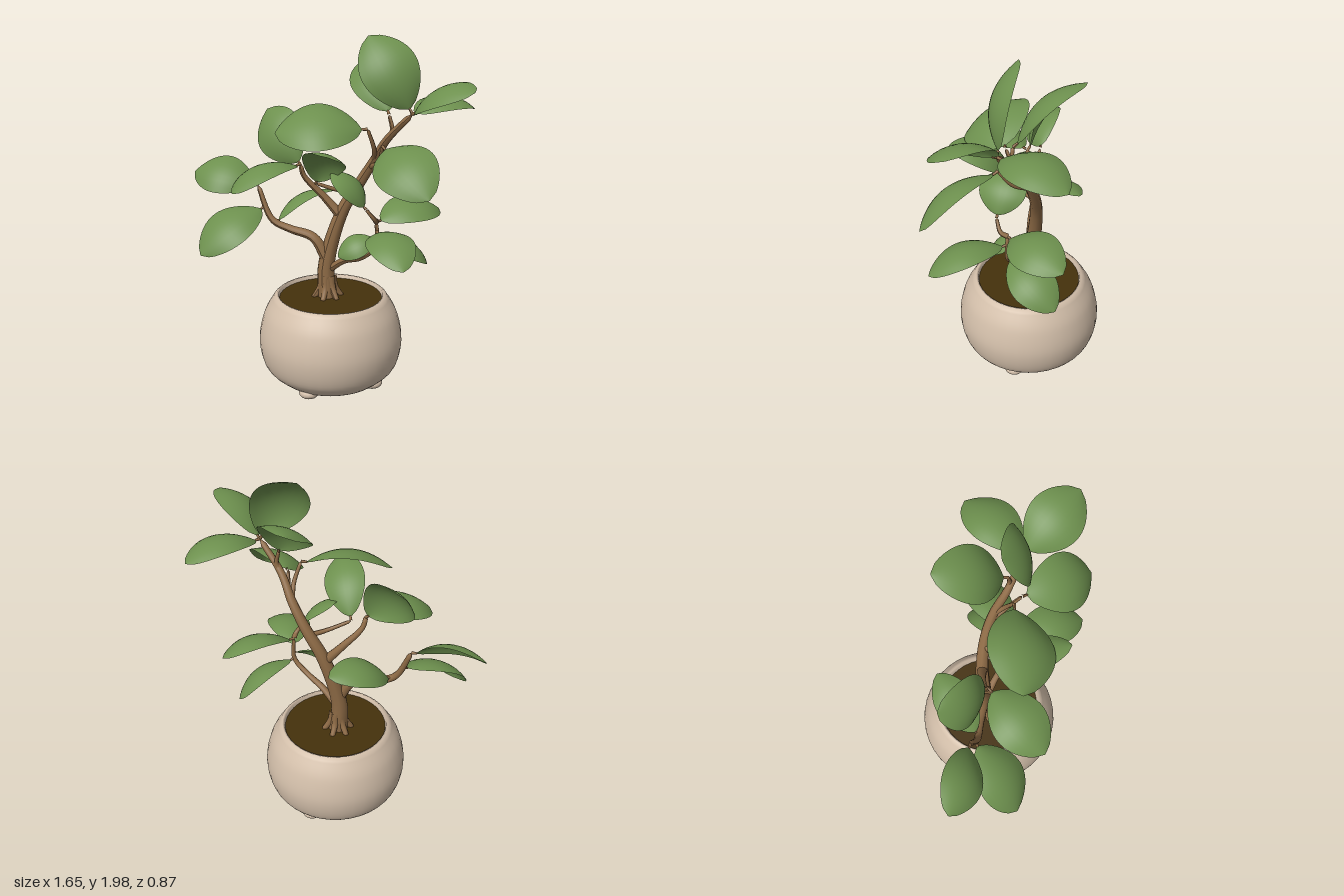
import * as THREE from 'three';

const material = (name, color, side = THREE.FrontSide) => {
  const m = new THREE.MeshStandardMaterial({ color, side });
  m.name = name;
  return m;
};

const part = (name, geometry, mat, parent) => {
  const mesh = new THREE.Mesh(geometry, mat);
  mesh.name = name;
  parent.add(mesh);
  return mesh;
};

const group = (name, parent) => {
  const g = new THREE.Group();
  g.name = name;
  parent.add(g);
  return g;
};

// Tapered tube along a smooth path, closed to a point at the end
function limbGeometry(curve, r0, r1, rows) {
  const sides = 10;
  const geo = new THREE.TubeGeometry(curve, rows, 1, sides, false);
  const pos = geo.attributes.position;
  const p = new THREE.Vector3();
  for (let i = 0; i <= rows; i++) {
    const c = curve.getPointAt(i / rows);
    const r = i === rows ? 0.001 : THREE.MathUtils.lerp(r0, r1, (i / rows) ** 0.75);
    for (let j = 0; j <= sides; j++) {
      const k = i * (sides + 1) + j;
      p.fromBufferAttribute(pos, k).sub(c).multiplyScalar(r).add(c);
      pos.setXYZ(k, p.x, p.y, p.z);
    }
  }
  geo.computeVertexNormals();
  return geo;
}

// Broad oval blade from base to tip, arched lengthwise, cupped and rolled about its axis
function leafGeometry(base, tip, roll, breadth) {
  const axis = tip.clone().sub(base);
  const length = axis.length();
  const dir = axis.clone().normalize();
  const side = new THREE.Vector3(0, 1, 0).cross(dir).normalize().applyAxisAngle(dir, -roll);
  const up = dir.clone().cross(side);
  const rows = 18, cols = 8;
  const geo = new THREE.PlaneGeometry(1, 1, cols, rows);
  const pos = geo.attributes.position;
  for (let i = 0; i <= rows; i++) {
    const t = i / rows;
    const outline = Math.max(0, Math.sin(Math.PI * t ** 1.04)) ** 0.62;
    const w = Math.max(0.003, breadth * length * outline);
    for (let j = 0; j <= cols; j++) {
      const s = (j / cols) * 2 - 1;
      const lift = 0.75 * length * t * (1 - t) - 0.28 * w * s * s;
      const p = base.clone().addScaledVector(axis, t).addScaledVector(side, s * w).addScaledVector(up, lift);
      pos.setXYZ(i * (cols + 1) + j, p.x, p.y, p.z);
    }
  }
  geo.computeVertexNormals();
  return geo;
}

export function createModel() {
  const ceramic = material('ceramic', 0xd3bfaa);
  const earth = material('earth', 0x45310c);
  const bark = material('bark', 0x8d6a45);
  const green = material('leafGreen', 0x6d904e, THREE.DoubleSide);

  const model = new THREE.Group();
  model.name = 'pottedTree';

  // Rounded pot with a thin rim, soil and four feet
  const pot = group('pot', model);
  pot.position.set(-0.008, 0, -0.025);
  const v2 = (x, y) => new THREE.Vector2(x, y);
  const wall = new THREE.SplineCurve([
    v2(0.3, 0.042), v2(0.382, 0.125), v2(0.411, 0.27), v2(0.381, 0.42), v2(0.324, 0.522),
  ]).getPoints(24);
  const profile = [v2(0, 0.04), ...wall, v2(0.308, 0.536), v2(0.297, 0.535), v2(0.288, 0.49)];
  part('bowl', new THREE.LatheGeometry(profile, 40), ceramic, pot);
  part('soil', new THREE.CylinderGeometry(0.292, 0.292, 0.02, 40), earth, pot).position.y = 0.505;
  for (let i = 0; i < 4; i++) {
    const a = (i * Math.PI) / 2;
    const foot = part('foot', new THREE.SphereGeometry(0.058, 16, 10), ceramic, pot);
    foot.scale.y = 0.6;
    foot.position.set(0.268 * Math.cos(a), 0.036, 0.268 * Math.sin(a));
  }

  const wood = group('wood', model);
  const foliage = group('foliage', model);

  const grow = (name, r0, r1, ...points) => {
    const curve = new THREE.CatmullRomCurve3(points.map((p) => new THREE.Vector3(...p)));
    part(name, limbGeometry(curve, r0, r1, points.length * 5), bark, wood);
    return curve;
  };

  // Bowed twig from a point along a branch
  const twig = (branch, t, x, y, z) => {
    const a = branch.getPointAt(t);
    const mid = [(a.x + x) / 2 + 0.02, (a.y + y) / 2 - 0.02, (a.z + z) / 2];
    return grow('twig', 0.016, 0.009, a.toArray(), mid, [x, y, z]);
  };

  // Leaf with a short stalk, reaching from a point along a branch to its tip
  const leaf = (branch, t, x, y, z, roll, breadth = 0.35) => {
    const joint = branch.getPointAt(t);
    const tip = new THREE.Vector3(x, y, z);
    const base = joint.clone().lerp(tip, 0.06);
    const stalk = new THREE.LineCurve3(joint, joint.clone().lerp(tip, 0.09));
    part('leafStalk', limbGeometry(stalk, 0.009, 0.006, 3), bark, wood);
    part('leaf', leafGeometry(base, tip, roll, breadth), green, foliage);
  };

  // Trunk and roots
  const trunk = grow('trunk', 0.058, 0.015, [-0.03, 0.5, -0.03], [-0.04, 0.7, -0.035], [0.035, 1.01, -0.08],
    [0.13, 1.18, -0.1], [0.22, 1.32, -0.09], [0.31, 1.45, -0.05], [0.46, 1.6, -0.02]);
  for (let i = 0; i < 6; i++) {
    const a = (i * Math.PI) / 3 + 0.4;
    const at = (r, y) => [-0.032 + r * Math.cos(a), y, -0.035 + r * Math.sin(a)];
    grow('root', 0.024, 0.015, at(0.028, 0.64), at(0.042, 0.57), at(0.085, 0.5));
  }

  // Crown
  leaf(trunk, 1, 0.2, 1.98, -0.04, 0.9);
  leaf(trunk, 1, 0.825, 1.75, 0.13, -0.39, 0.37);
  leaf(trunk, 1, 0.64, 1.59, -0.42, -0.1, 0.33);
  leaf(twig(trunk, 0.84, 0.32, 1.58, -0.05), 1, 0.07, 1.85, -0.34, 0.39, 0.33);

  // Middle right and centre
  leaf(twig(trunk, 0.66, 0.32, 1.43, 0.03), 1, 0.68, 1.25, 0.3, -0.5, 0.35);
  leaf(twig(trunk, 0.7, 0.23, 1.51, 0.02), 1, -0.2, 1.49, 0.24, 0.5, 0.43);
  leaf(twig(trunk, 0.54, -0.05, 1.2, 0.07), 1, 0.17, 1.42, 0.36, 0.35, 0.29);

  // Upper left branch
  const upper = grow('upperBranch', 0.03, 0.012, [0.03, 0.99, -0.075], [-0.06, 1.1, -0.04],
    [-0.15, 1.22, 0.02], [-0.16, 1.29, 0.04]);
  leaf(upper, 0.97, -0.45, 1.55, -0.1, 1.05, 0.36);
  leaf(upper, 1, -0.35, 1.19, 0.43, -0.1);

  // Lower left branch
  const left = grow('leftBranch', 0.036, 0.013, [-0.035, 0.74, -0.03], [-0.11, 0.86, -0.01],
    [-0.24, 0.9, 0.02], [-0.34, 0.95, 0.05], [-0.43, 1.14, 0.05]);
  leaf(left, 1, -0.825, 1.19, 0.1, 0.7);
  leaf(left, 0.8, -0.6, 0.8, 0.39, 0.34);
  leaf(left, 0.62, -0.12, 1.07, -0.28, 0.25, 0.29);

  // Lower right branch
  const right = grow('rightBranch', 0.024, 0.01, [-0.03, 0.67, -0.035], [0.08, 0.75, -0.02],
    [0.19, 0.79, 0], [0.28, 0.87, 0], [0.28, 1.01, 0]);
  leaf(right, 0.9, 0.57, 0.88, 0.33, -0.1, 0.3);
  leaf(right, 1, 0.5, 1.02, -0.37, -0.32, 0.32);
  leaf(right, 0.74, 0.45, 0.72, -0.32, -0.4, 0.33);
  leaf(right, 0.82, 0.11, 0.82, 0.12, 0.74, 0.33);
  leaf(twig(right, 1, 0.25, 1.09, 0.07), 1, 0.05, 1.28, 0.07, 0, 0.5);

  return model;
}
